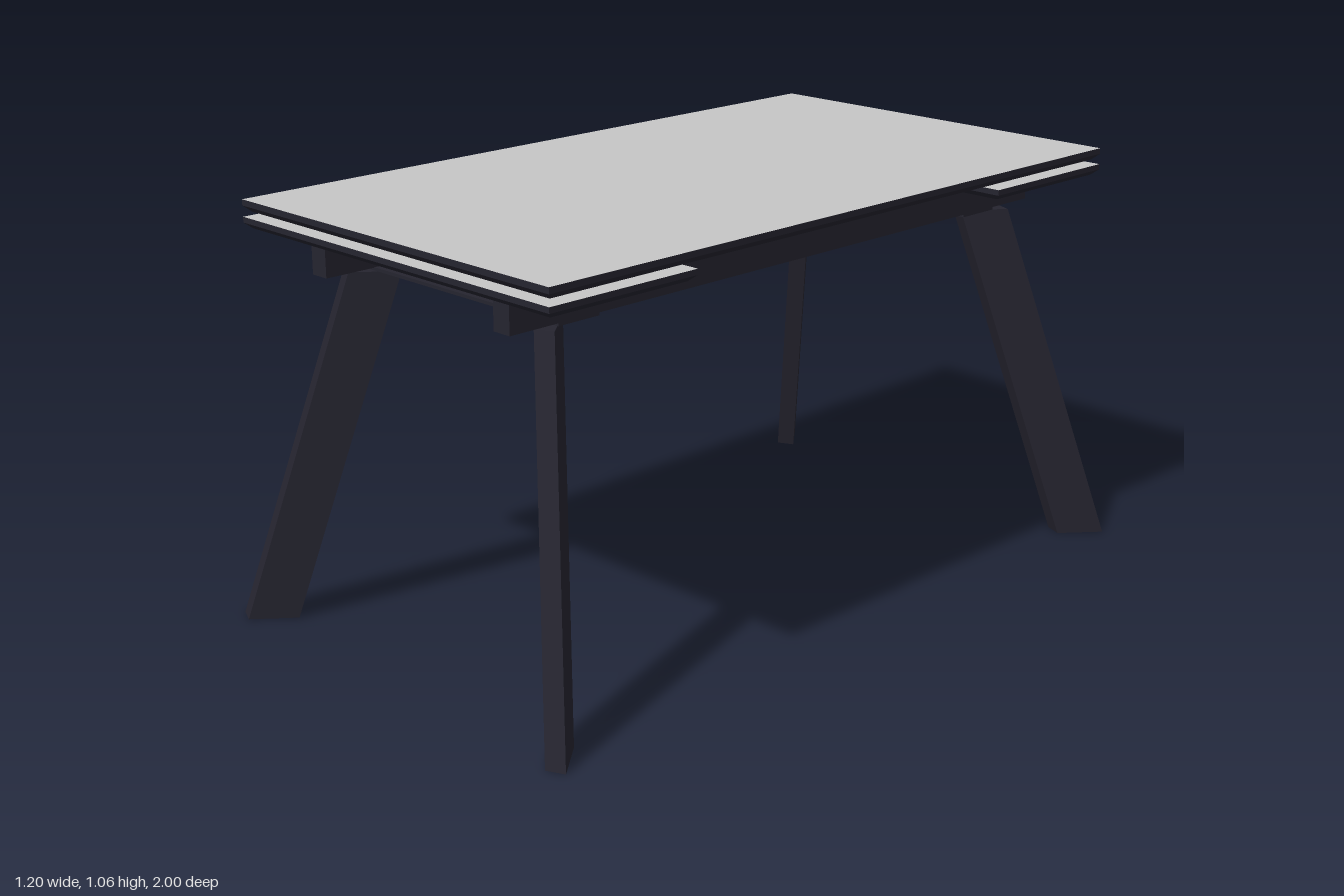
import * as THREE from 'three';

const frame = new THREE.MeshStandardMaterial({ color: 0x25242f });
frame.name = 'dark frame';
const surface = new THREE.MeshStandardMaterial({ color: 0xc6c6c6 });
surface.name = 'pale grey surface';

// Panel with a pale upper face, dark edges and a bevelled underside
function panel(name, width, depth, bottom, height, z) {
  let geo = new THREE.BoxGeometry(width, height, depth, 1, 2, 1);
  const pos = geo.attributes.position;
  const bevel = 0.016;
  for (let i = 0; i < pos.count; i++) {
    if (pos.getY(i) < -0.001) {
      pos.setX(i, pos.getX(i) - Math.sign(pos.getX(i)) * bevel);
      pos.setZ(i, pos.getZ(i) - Math.sign(pos.getZ(i)) * bevel);
    }
  }
  geo = geo.toNonIndexed();
  geo.computeVertexNormals();
  const mesh = new THREE.Mesh(geo, [frame, frame, surface, frame, frame, frame]);
  mesh.name = name;
  mesh.position.set(0, bottom + height / 2, z);
  return mesh;
}

function bar(name, w, h, d, x, y, z) {
  const mesh = new THREE.Mesh(new THREE.BoxGeometry(w, h, d), frame);
  mesh.name = name;
  mesh.position.set(x, y, z);
  return mesh;
}

// Splayed leg: a slanted prism with a turned cross-section
function legGeometry() {
  const height = 0.897;
  let geo = new THREE.BoxGeometry(1, 1, 1);
  const pos = geo.attributes.position;
  for (let i = 0; i < pos.count; i++) {
    const u = pos.getX(i), t = pos.getY(i) + 0.5, v = pos.getZ(i);
    pos.setXYZ(i,
      0.5375 + 0.045 * u + 0.08 * v - 0.225 * t,
      height * t,
      0.9425 - 0.02 * u + 0.095 * v - 0.19 * t);
  }
  geo = geo.toNonIndexed();
  geo.computeVertexNormals();
  return geo;
}

export function createModel() {
  const table = new THREE.Group();
  table.name = 'table';

  table.add(panel('tableTop', 1.085, 1.9, 1.03, 0.03, 0));

  const leg = legGeometry();
  for (const sz of [1, -1]) {
    const end = sz > 0 ? 'front' : 'back';
    // Extension leaf under each end, and the thin plate tying the rails
    table.add(panel(end + 'Leaf', 1.085, 0.425, 0.99, 0.028, sz * 0.7375));
    table.add(bar(end + 'CrossPlate', 0.7, 0.008, 0.12, 0, 0.901, sz * 0.697));

    for (const sx of [1, -1]) {
      const mesh = new THREE.Mesh(leg, frame);
      mesh.name = end + (sx > 0 ? 'Left' : 'Right') + 'Leg';
      mesh.scale.set(sx, 1, sz);
      table.add(mesh);
    }
  }

  // Long rails
  for (const sx of [1, -1]) {
    table.add(bar(sx > 0 ? 'leftRail' : 'rightRail', 0.052, 0.07, 1.79, sx * 0.325, 0.939, 0));
  }

  return table;
}
